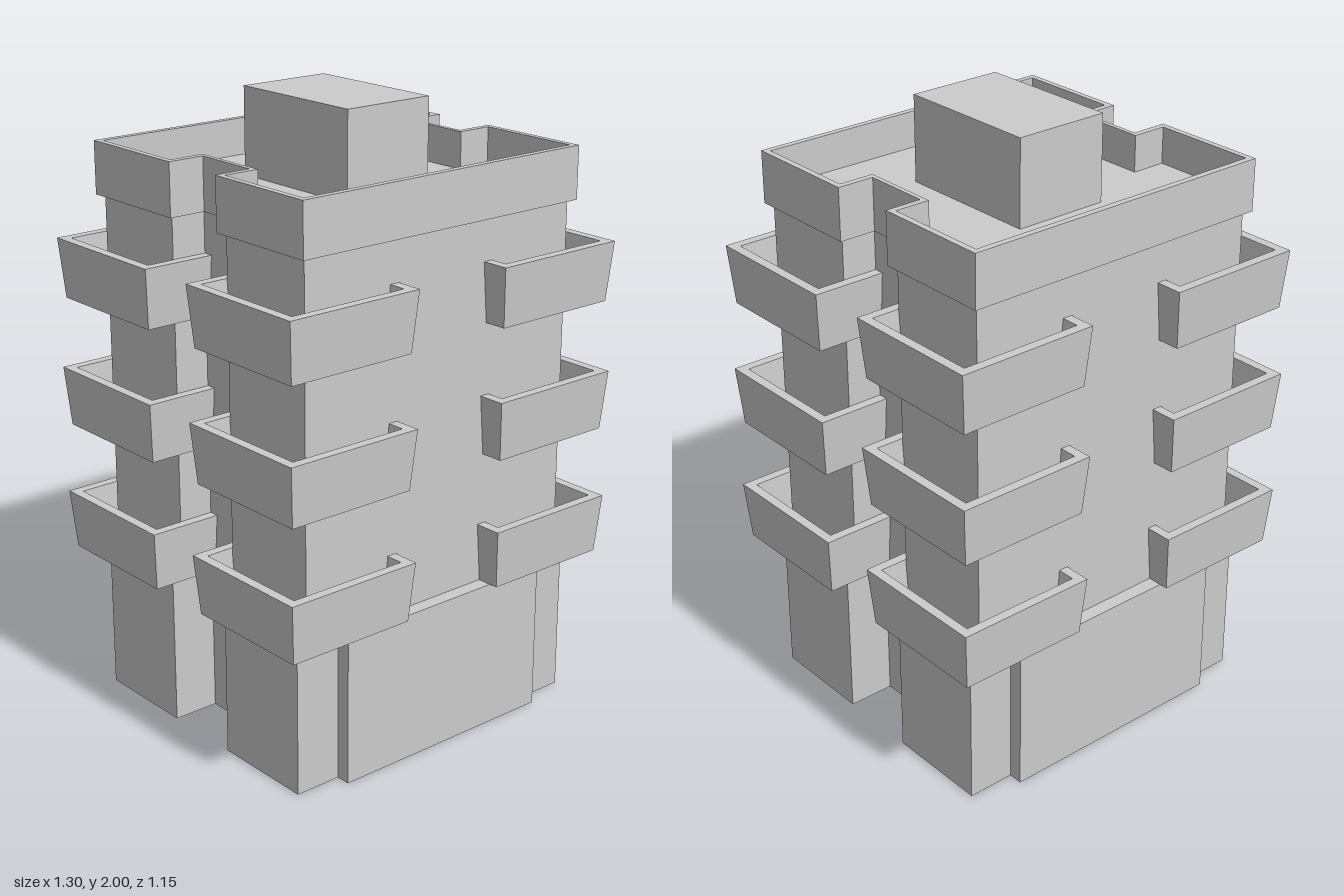
import * as THREE from 'three';

const material = new THREE.MeshStandardMaterial({ color: 0xcccccc, flatShading: true });

function addMesh(group, name, geometry, y = 0) {
  const mesh = new THREE.Mesh(geometry, material);
  mesh.name = name;
  mesh.position.y = y;
  group.add(mesh);
  return mesh;
}

// Floor plan: rectangle (half sizes w, d) with a notch in each side,
// reaching in to x = notchX and spanning z = +-notchZ.
function planPoints(w, d, notchX, notchZ) {
  return [
    [-w, -d], [w, -d], [w, -notchZ], [notchX, -notchZ], [notchX, notchZ], [w, notchZ],
    [w, d], [-w, d], [-w, notchZ], [-notchX, notchZ], [-notchX, -notchZ], [-w, -notchZ],
  ].map(([x, z]) => new THREE.Vector2(x, z));
}

function extrudeUp(points, height, hole) {
  const shape = new THREE.Shape(points);
  if (hole) shape.holes.push(new THREE.Path(hole));
  return new THREE.ExtrudeGeometry(shape, { depth: height, bevelEnabled: false }).rotateX(-Math.PI / 2);
}

// Open square tub with flared walls, made of four square rings and two caps
function tubGeometry(height) {
  const rings = [
    [0.223, 0],        // outer bottom
    [0.238, height],   // outer rim
    [0.206, height],   // inner rim
    [0.192, 0.02],     // floor
  ];
  const corners = [[-1, 1], [1, 1], [1, -1], [-1, -1]];
  const positions = [];
  for (const [r, y] of rings) for (const [x, z] of corners) positions.push(x * r, y, z * r);
  const index = [];
  const quad = (a, b, c, d) => index.push(a, b, c, a, c, d);
  for (let k = 0; k < 3; k++) {
    for (let i = 0; i < 4; i++) {
      const j = (i + 1) % 4;
      quad(k * 4 + i, k * 4 + j, k * 4 + 4 + j, k * 4 + 4 + i);
    }
  }
  quad(3, 2, 1, 0);
  quad(12, 13, 14, 15);
  const geometry = new THREE.BufferGeometry();
  geometry.setAttribute('position', new THREE.Float32BufferAttribute(positions, 3));
  geometry.setIndex(index);
  const flat = geometry.toNonIndexed();
  flat.computeVertexNormals();
  return flat;
}

export function createModel() {
  const building = new THREE.Group();
  building.name = 'apartmentBuilding';

  // Ground floor, with a shallow bay on the front and back
  const base = [
    [-0.558, -0.485], [-0.4, -0.485], [-0.4, -0.532], [0.4, -0.532], [0.4, -0.485], [0.558, -0.485],
    [0.558, -0.135], [0.403, -0.135], [0.403, 0.135], [0.558, 0.135],
    [0.558, 0.485], [0.4, 0.485], [0.4, 0.532], [-0.4, 0.532], [-0.4, 0.485], [-0.558, 0.485],
    [-0.558, 0.135], [-0.403, 0.135], [-0.403, -0.135], [-0.558, -0.135],
  ].map(([x, z]) => new THREE.Vector2(x, z));
  addMesh(building, 'groundFloor', extrudeUp(base, 0.49));

  // Upper floors up to the roof deck
  const plan = planPoints(0.523, 0.485, 0.405, 0.133);
  addMesh(building, 'upperFloors', extrudeUp(plan, 1.72 - 0.49), 0.49);

  // Roof parapet, overhanging the walls
  const parapet = planPoints(0.543, 0.506, 0.42, 0.112);
  addMesh(building, 'roofParapet', extrudeUp(parapet, 0.17, plan), 1.67);

  // Stair housing on the roof
  addMesh(building, 'roofHouse', new THREE.BoxGeometry(0.32, 0.28, 0.49), 1.86);

  // Corner balconies on three floors
  const balcony = tubGeometry(0.194);
  for (const y of [0.49, 0.916, 1.341]) {
    for (const sx of [-1, 1]) {
      for (const sz of [-1, 1]) {
        const mesh = addMesh(building, 'cornerBalcony', balcony, y);
        mesh.position.x = sx * 0.41;
        mesh.position.z = sz * 0.338;
      }
    }
  }
  return building;
}
